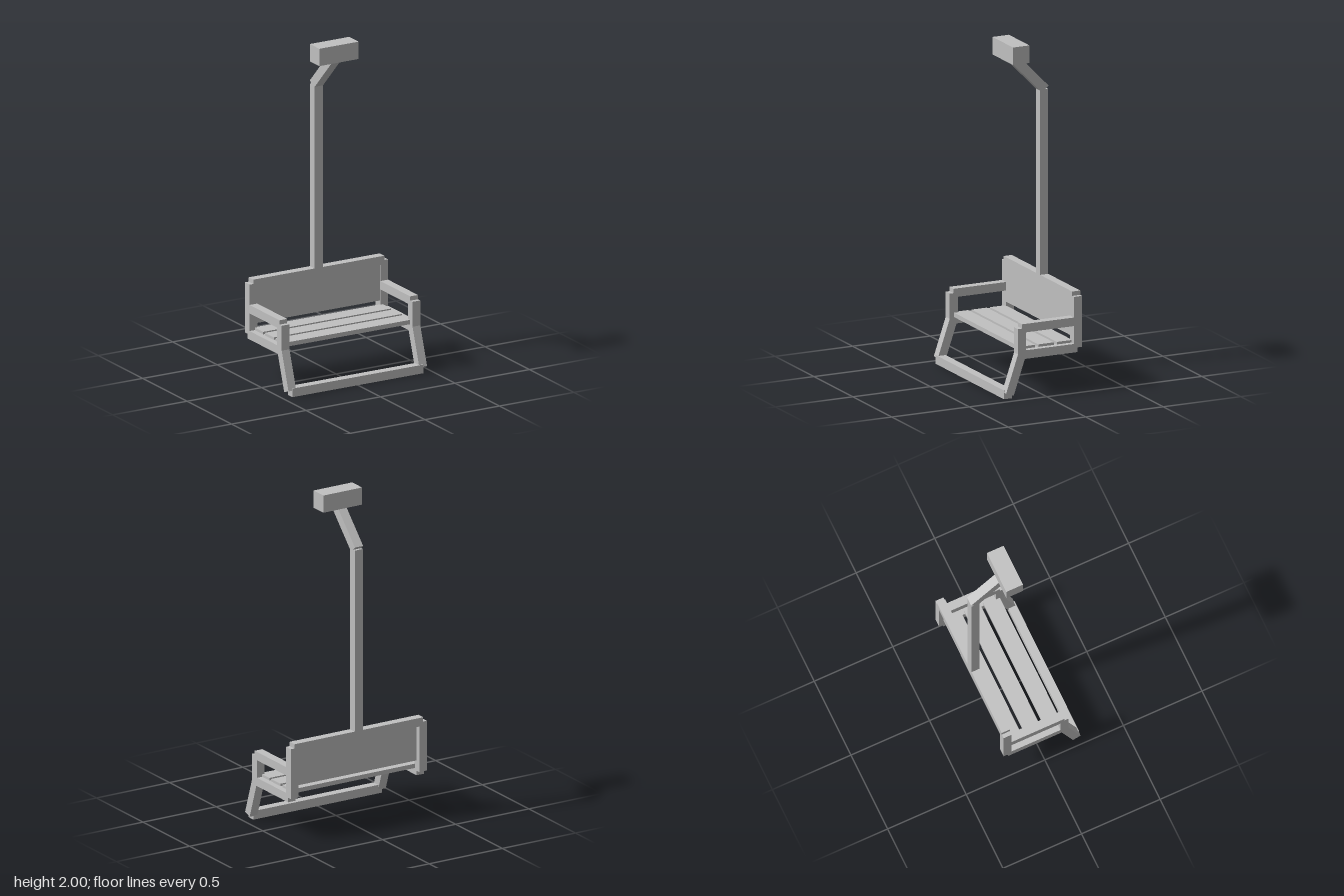
import * as THREE from 'three';

const T = 0.052; // thickness of the square tubing

export function createModel() {
  const model = new THREE.Group();
  model.name = 'chairlift';
  const grey = new THREE.MeshStandardMaterial({ color: 0xc0c0c0 });
  grey.name = 'grey metal';

  // Box given by its lower and upper limits on each axis
  function block(name, [x0, x1], [y0, y1], [z0, z1]) {
    const mesh = new THREE.Mesh(new THREE.BoxGeometry(x1 - x0, y1 - y0, z1 - z0), grey);
    mesh.position.set((x0 + x1) / 2, (y0 + y1) / 2, (z0 + z1) / 2);
    mesh.name = name;
    model.add(mesh);
  }

  // Square bar between two [y, z] points in a plane of constant x
  function slantedBar(name, x, [y0, z0], [y1, z1], width = T) {
    const dy = y1 - y0, dz = z1 - z0;
    const mesh = new THREE.Mesh(new THREE.BoxGeometry(width, Math.hypot(dy, dz), width), grey);
    mesh.position.set(x, (y0 + y1) / 2, (z0 + z1) / 2);
    mesh.rotation.x = Math.atan2(dz, dy);
    mesh.name = name;
    model.add(mesh);
  }

  // Hanger: cable grip, slanted neck and long pole
  block('cableGrip', [-0.132, 0.132], [1.895, 2], [-0.073, 0.033]);
  slantedBar('hangerNeck', 0, [1.695, -0.228], [1.915, -0.013], 0.056);
  block('hangerPole', [-0.028, 0.028], [0.565, 1.695], [-0.246, -0.194]);

  // Backrest
  block('backTopRail', [-0.44, 0.44], [0.538, 0.59], [-0.246, -0.194]);
  block('backPanel', [-0.414, 0.414], [0.323, 0.56], [-0.217, -0.196]);

  // Seat slats
  for (const z of [-0.15, -0.03, 0.09]) {
    block('seatSlat', [-0.43, 0.43], [0.272, 0.298], [z - 0.05, z + 0.05]);
  }

  // Side frames
  for (const side of [-1, 1]) {
    const x = [side * 0.439 - T / 2, side * 0.439 + T / 2];
    block('backPost', x, [0.26, 0.564], [-0.246, -0.194]);
    block('armrest', x, [0.39, 0.441], [-0.22, 0.142]);
    block('frontPost', x, [0.258, 0.415], [0.116, 0.168]);
    block('seatSideBar', x, [0.232, 0.283], [-0.217, 0.142]);
    slantedBar('footrestLeg', side * 0.439, [0.03, 0.22], [0.26, 0.142]);
  }

  // Footrest
  block('footrestBar', [-0.44, 0.44], [0, T], [0.194, 0.246]);

  return model;
}
